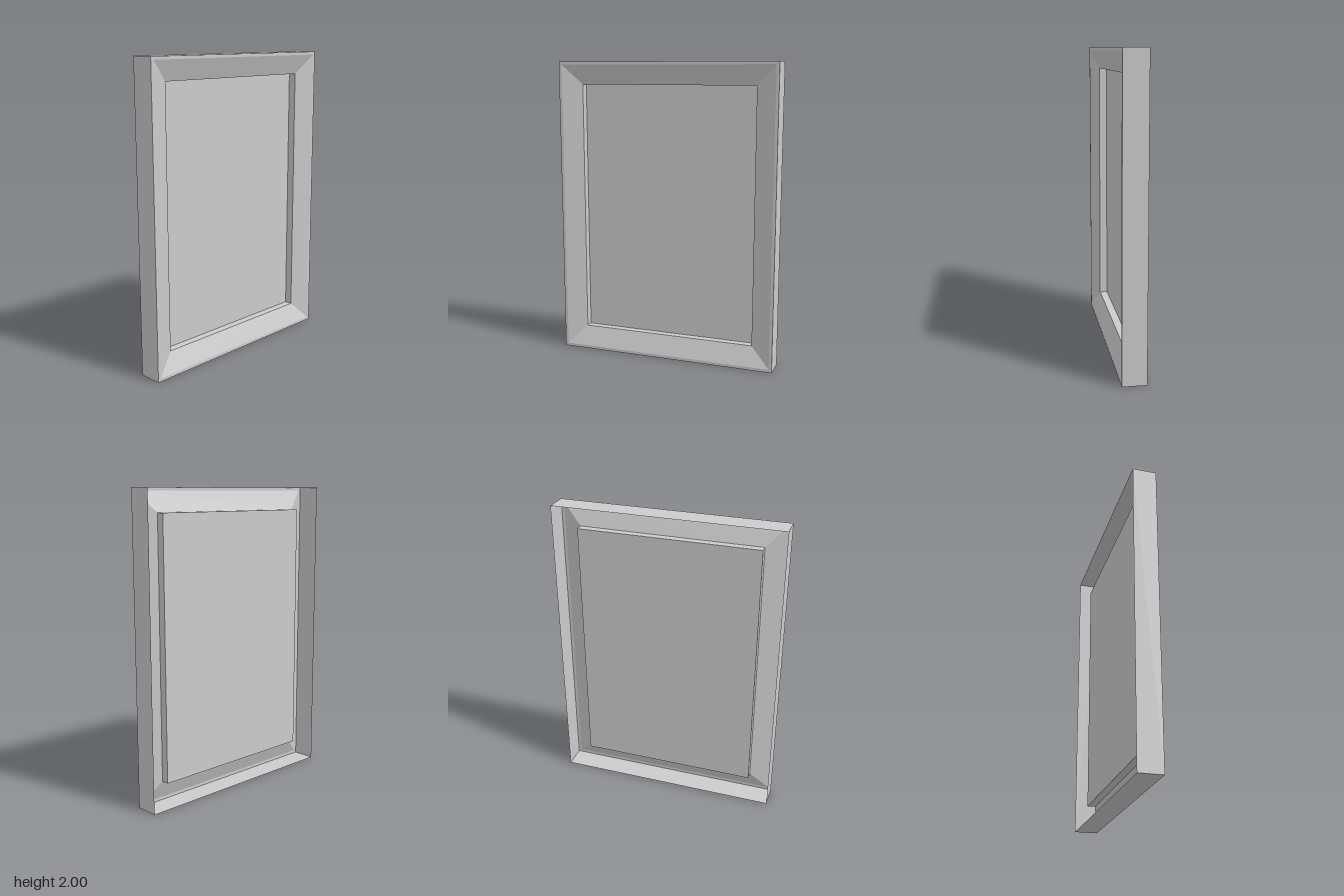
import * as THREE from 'three';

const WIDTH = 1.5, HEIGHT = 2;
const material = new THREE.MeshStandardMaterial({
  color: 0xcccccc, flatShading: true, side: THREE.DoubleSide,
});

// Corners of the outline, inset from the outer edge, at depth x (counter-clockwise from +x)
function ring([inset, x]) {
  const z = WIDTH / 2 - inset, low = inset, high = HEIGHT - inset;
  return [[x, low, z], [x, low, -z], [x, high, -z], [x, high, z]];
}

// Mitred band of four faces for each step along a profile of [inset, x] points
function mitredBand(name, profile) {
  const positions = [];
  for (let i = 0; i < profile.length - 1; i++) {
    const a = ring(profile[i]), b = ring(profile[i + 1]);
    for (let k = 0; k < 4; k++) {
      const n = (k + 1) % 4;
      positions.push(...a[k], ...a[n], ...b[n], ...a[k], ...b[n], ...b[k]);
    }
  }
  const geometry = new THREE.BufferGeometry();
  geometry.setAttribute('position', new THREE.Float32BufferAttribute(positions, 3));
  geometry.computeVertexNormals();
  const mesh = new THREE.Mesh(geometry, material);
  mesh.name = name;
  return mesh;
}

export function createModel() {
  const group = new THREE.Group();
  group.name = 'pictureFrame';

  // Thin outer walls, open at the back
  group.add(mitredBand('outerWalls', [[0, -0.078], [0, 0.078]]));

  // Narrow flat rim, then the slope down to the opening
  group.add(mitredBand('frameMoulding', [[0, 0.078], [0.02, 0.078], [0.15, 0.026]]));

  // Straight step into the recess
  group.add(mitredBand('innerLip', [[0.15, 0.026], [0.15, -0.026]]));

  // Recessed panel, facing +x
  const panel = new THREE.Mesh(new THREE.PlaneGeometry(WIDTH - 0.3, HEIGHT - 0.3), material);
  panel.name = 'panel';
  panel.rotation.y = Math.PI / 2;
  panel.position.set(-0.026, HEIGHT / 2, 0);
  group.add(panel);

  return group;
}
